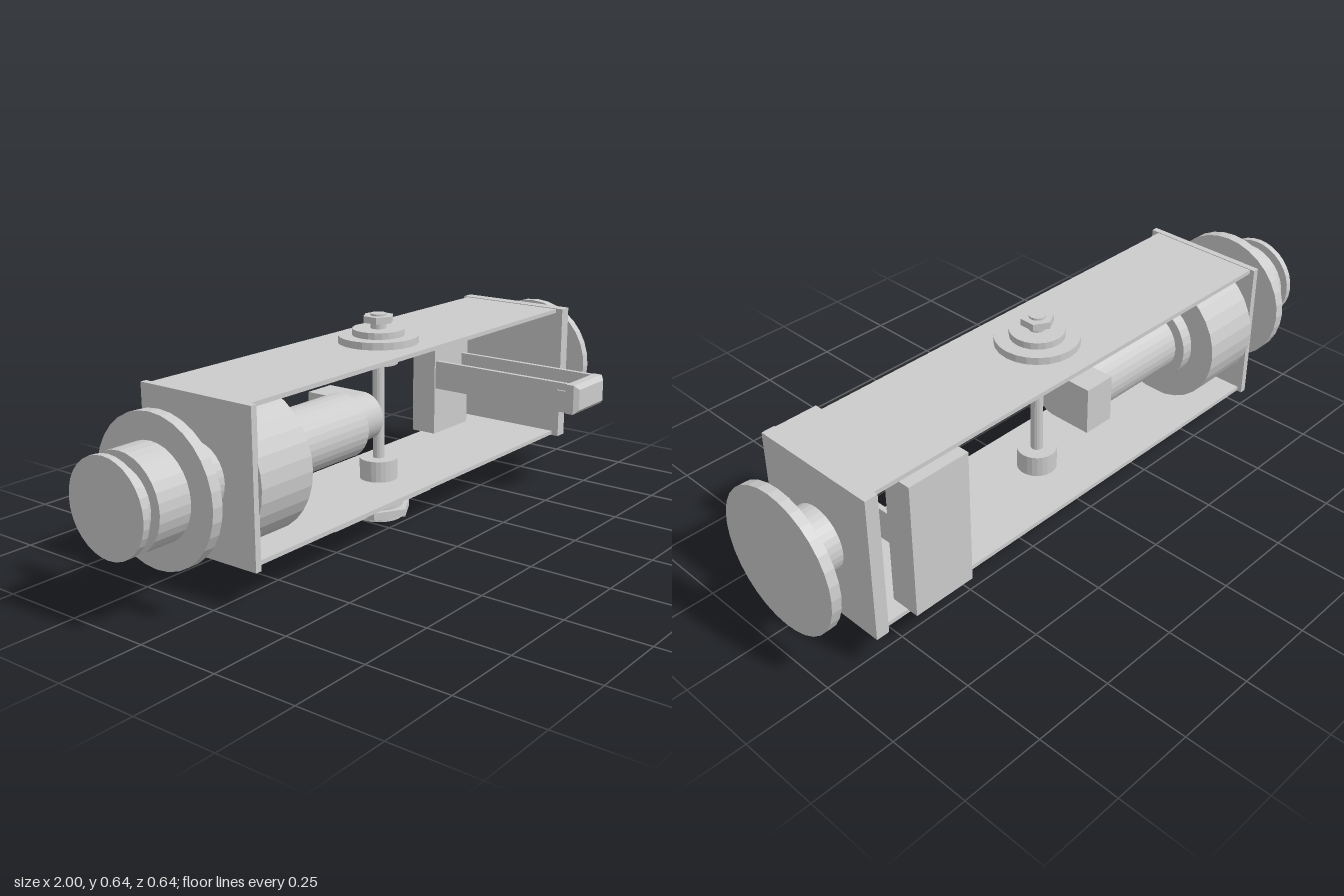
import * as THREE from 'three';

const AXIS_Y = 0.33, AXIS_Z = -0.1, PIN_X = 0.077;

export function createModel() {
  const model = new THREE.Group();
  model.name = 'rollerCarriage';
  const grey = new THREE.MeshStandardMaterial({ color: 0xcccccc, flatShading: true });

  const add = (name, geometry, parent = model) => {
    const mesh = new THREE.Mesh(geometry, grey);
    mesh.name = name;
    parent.add(mesh);
    return mesh;
  };
  const group = (name) => {
    const g = new THREE.Group();
    g.name = name;
    model.add(g);
    return g;
  };
  // Box given by its limits on each axis
  const box = (name, x0, x1, y0, y1, z0, z1, parent) => {
    const m = add(name, new THREE.BoxGeometry(x1 - x0, y1 - y0, z1 - z0), parent);
    m.position.set((x0 + x1) / 2, (y0 + y1) / 2, (z0 + z1) / 2);
    return m;
  };
  // Cylinder along the main x axis
  const roll = (name, x0, x1, r, parent) => {
    const m = add(name, new THREE.CylinderGeometry(r, r, x1 - x0, 32).rotateZ(Math.PI / 2), parent);
    m.position.set((x0 + x1) / 2, AXIS_Y, AXIS_Z);
    return m;
  };
  // Cylinder along the upright pin; six sides makes a nut with points front and back
  const disc = (name, y0, y1, r, sides, parent) => {
    const m = add(name, new THREE.CylinderGeometry(r, r, y1 - y0, sides), parent);
    m.position.set(PIN_X, (y0 + y1) / 2, AXIS_Z);
    return m;
  };

  // Open box frame
  const frame = group('frame');
  box('topPlate', -0.68, 0.84, 0.538, 0.551, -0.285, 0.073, frame);
  box('bottomPlate', -0.68, 0.84, 0.11, 0.123, -0.285, 0.073, frame);
  box('rightEndPlate', -0.69, -0.67, 0.108, 0.553, -0.3, 0.098, frame);
  box('leftEndPlate', 0.83, 0.87, 0.108, 0.553, -0.3, 0.098, frame);

  // Grooved pulley on the right end
  const pulley = group('pulley');
  [['shaft', -0.815, -0.685, 0.098], ['flange', -0.845, -0.812, 0.21], ['hub', -0.948, -0.84, 0.135],
    ['groove', -0.982, -0.945, 0.105], ['rim', -1, -0.98, 0.135]]
    .forEach(([name, a, b, r]) => roll(name, a, b, r, pulley));

  // Flanged buffer on the left end
  const buffer = group('buffer');
  roll('shaft', 0.865, 0.975, 0.095, buffer);
  roll('flange', 0.97, 1, 0.21, buffer);

  // Stepped drive inside the frame
  const drive = group('drive');
  roll('drum', -0.672, -0.475, 0.21, drive);
  roll('collar', -0.48, -0.437, 0.13, drive);
  roll('barrel', -0.44, -0.095, 0.098, drive);

  // Drive tip: round at the front, square at the back
  const tip = new THREE.Shape();
  tip.moveTo(0.13, -0.073);
  tip.lineTo(0.13, 0.073);
  tip.lineTo(0, 0.073);
  tip.absarc(0, 0, 0.073, Math.PI / 2, Math.PI * 1.5, false);
  tip.closePath();
  const tipGeo = new THREE.ExtrudeGeometry(tip, { depth: 0.102, bevelEnabled: false, curveSegments: 14 });
  add('driveTip', tipGeo.rotateY(Math.PI / 2), drive).position.set(-0.097, AXIS_Y + 0.007, AXIS_Z);

  // Upright pin with its bushings, washers and nuts
  const pin = group('pivotPin');
  [['rod', 0.1, 0.56, 0.018, 16], ['upperBushing', 0.485, 0.54, 0.059, 24], ['lowerBushing', 0.122, 0.188, 0.059, 24],
    ['topWasher', 0.55, 0.573, 0.122, 24], ['topCollar', 0.572, 0.593, 0.079, 24], ['topStud', 0.592, 0.638, 0.024, 16],
    ['topNut', 0.612, 0.632, 0.048, 6], ['bottomWasher', 0.088, 0.112, 0.122, 24], ['bottomNeck', 0.06, 0.09, 0.043, 20],
    ['bottomCollar', 0.037, 0.065, 0.075, 24], ['bottomNut', 0.015, 0.038, 0.103, 6], ['bottomCap', 0, 0.016, 0.075, 24]]
    .forEach(([name, a, b, r, sides]) => disc(name, a, b, r, sides, pin));

  // Stepped strap under the frame, mirrored about the pin
  for (const side of [-1, 1]) {
    const strap = group(side < 0 ? 'rightStrap' : 'leftStrap');
    const piece = (name, d0, d1, y0, y1) => {
      const a = PIN_X + side * d0, b = PIN_X + side * d1;
      box(name, Math.min(a, b), Math.max(a, b), y0, y1, AXIS_Z - 0.024, AXIS_Z + 0.024, strap);
    };
    piece('strapArm', 0.06, 0.242, 0.018, 0.04);
    piece('strapUpright', 0.222, 0.242, 0.018, 0.108);
    piece('strapFoot', 0.222, 0.274, 0.095, 0.111);
  }

  // Block at the back that carries the handle
  box('handleBlock', 0.555, 0.752, 0.122, 0.538, -0.32, -0.23);

  // Handle: two arms joined by a chamfered grip
  const handle = group('handle');
  for (const x of [0.561, 0.715]) {
    box('handleArm', x, x + 0.015, 0.283, 0.378, -0.235, 0.285, handle);
  }
  const tab = new THREE.Shape([[0.285, 0.305], [0.285, 0.355], [0.245, 0.355], [0.225, 0.33], [0.245, 0.305]]
    .map(([z, y]) => new THREE.Vector2(-z, y)));
  for (const x of [0.554, 0.729]) {
    const tabGeo = new THREE.ExtrudeGeometry(tab, { depth: 0.007, bevelEnabled: false });
    add('gripTab', tabGeo.rotateY(Math.PI / 2), handle).position.x = x;
  }
  box('grip', 0.554, 0.736, 0.283, 0.378, 0.278, 0.306, handle);
  const face = new THREE.CylinderGeometry(Math.SQRT1_2, Math.SQRT1_2, 1, 4, 1).rotateY(Math.PI / 4).rotateX(Math.PI / 2);
  const p = face.attributes.position;
  for (let i = 0; i < p.count; i++) {
    const inset = p.getZ(i) > 0 ? 0.014 : 0;
    p.setXYZ(i, 0.645 + Math.sign(p.getX(i)) * (Math.abs(p.getX(i)) > 0.01 ? 0.091 - inset : 0),
      0.3305 + Math.sign(p.getY(i)) * (Math.abs(p.getY(i)) > 0.01 ? 0.0475 - inset : 0), p.getZ(i) > 0 ? 0.32 : 0.306);
  }
  face.computeVertexNormals();
  add('gripFace', face, handle);

  return model;
}
